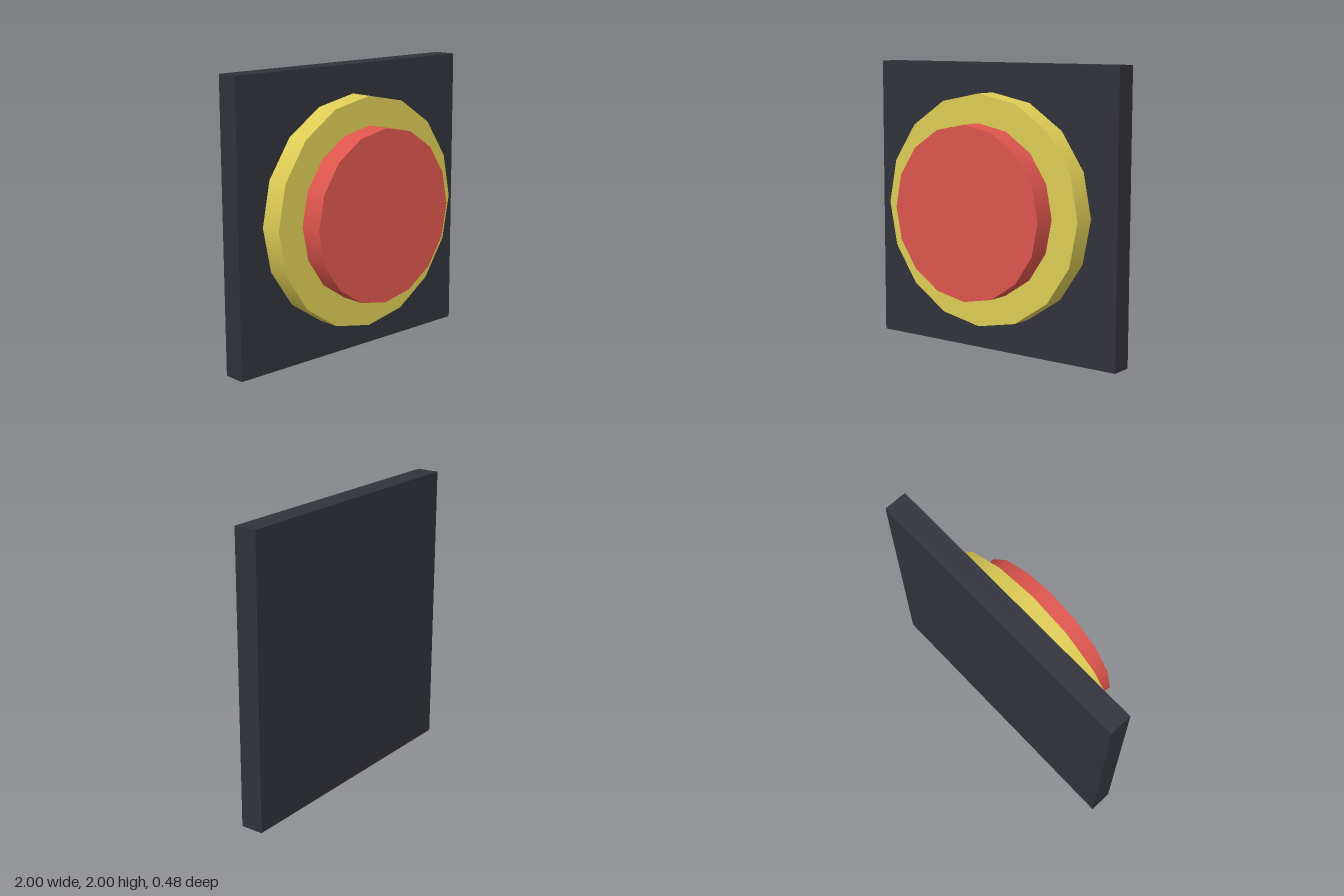
import * as THREE from 'three';

export function createModel() {
  const group = new THREE.Group();
  group.name = 'pushButton';

  const material = (name, color) => {
    const m = new THREE.MeshStandardMaterial({ color });
    m.name = name;
    return m;
  };
  const charcoal = material('charcoal', 0x32323c);
  const yellow = material('yellow', 0xdecd55);
  const red = material('red', 0xdf564d);

  const depth = 0.16; // every layer has the same thickness

  const add = (name, geometry, mat, z) => {
    const mesh = new THREE.Mesh(geometry, mat);
    mesh.name = name;
    mesh.position.set(0, 1, z);
    group.add(mesh);
  };

  // 16-sided disc whose axis points to the front
  const disc = (radius) =>
    new THREE.CylinderGeometry(radius, radius, depth, 16).rotateX(Math.PI / 2);

  // Square back plate, collar ring and button, stacked toward the front
  add('backPlate', new THREE.BoxGeometry(2, 2, depth), charcoal, -depth);
  add('collar', disc(0.8), yellow, 0);
  add('button', disc(0.6), red, depth);

  return group;
}
